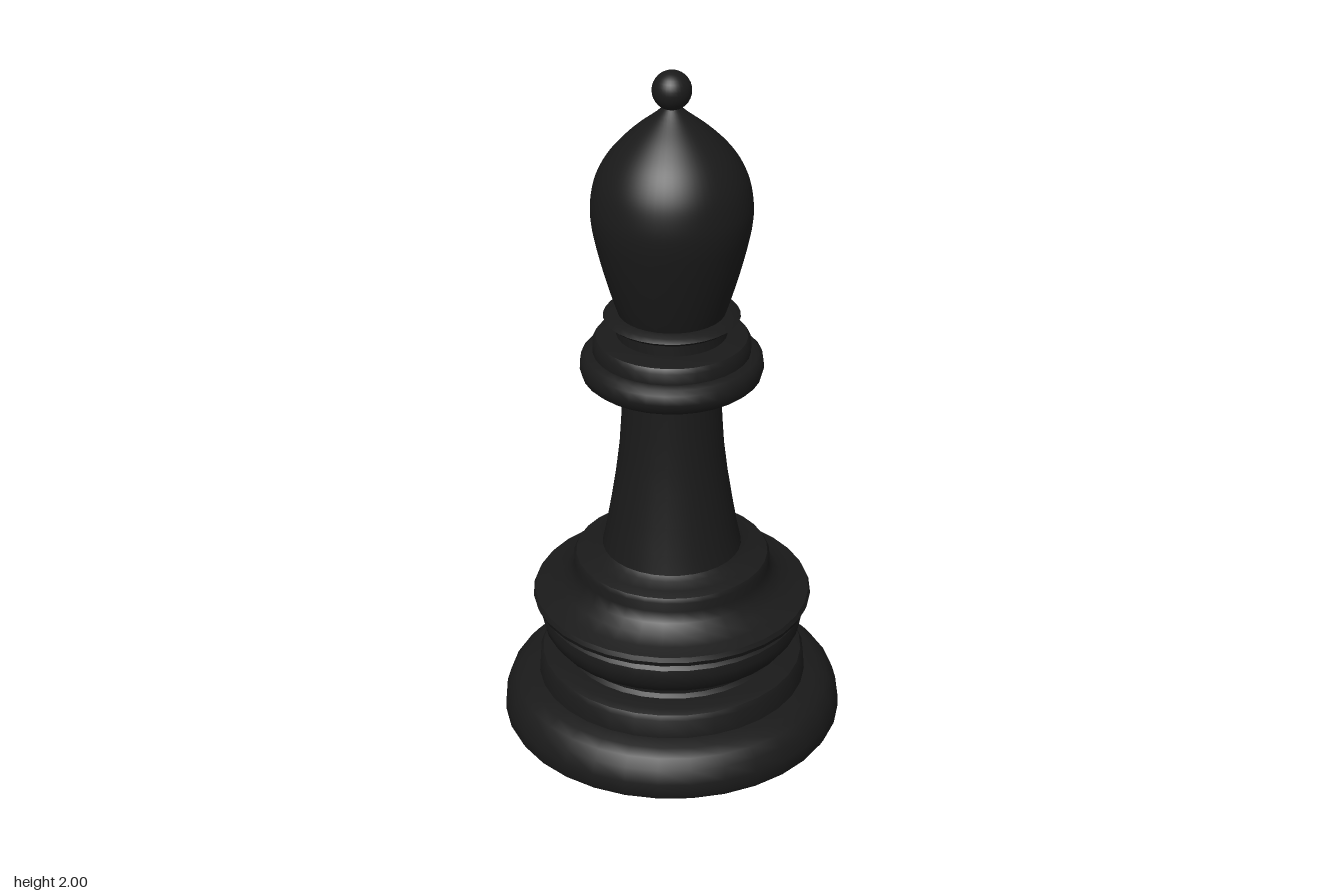
import * as THREE from 'three';
import { toCreasedNormals } from 'three/addons/utils/BufferGeometryUtils.js';

const SIDES = 32;
const material = new THREE.MeshStandardMaterial({ color: 0x1a1a1a, side: THREE.DoubleSide });

function addMesh(parent, name, geometry) {
  const mesh = new THREE.Mesh(geometry, material);
  mesh.name = name;
  parent.add(mesh);
  return mesh;
}

// Turned part from [radius, height] pairs, listed bottom to top
function turned(points) {
  const profile = points.map(([r, y]) => new THREE.Vector2(r, y));
  return toCreasedNormals(new THREE.LatheGeometry(profile, SIDES), 0.7);
}

// Surface through rows of points; normalAt is optional
function grid(rows, columns, pointAt, normalAt) {
  const positions = [], normals = [], index = [];
  rows.forEach((y, i) => {
    for (let j = 0; j <= columns; j++) {
      positions.push(...pointAt(y, j / columns));
      if (normalAt) normals.push(...normalAt(y, j / columns));
      if (i < rows.length - 1 && j < columns) {
        const a = i * (columns + 1) + j, b = a + columns + 1;
        index.push(a, a + 1, b, a + 1, b + 1, b);
      }
    }
  });
  const geometry = new THREE.BufferGeometry();
  geometry.setAttribute('position', new THREE.Float32BufferAttribute(positions, 3));
  geometry.setIndex(index);
  if (normalAt) {
    geometry.setAttribute('normal', new THREE.Float32BufferAttribute(normals, 3));
    geometry.normalizeNormals();
  } else geometry.computeVertexNormals();
  return geometry;
}

const range = (from, to, n) => Array.from({ length: n + 1 }, (_, i) => from + (to - from) * i / n);

// Head outline, sampled from a smooth curve
const outline = new THREE.SplineCurve([
  [0.15, 1.30], [0.165, 1.345], [0.187, 1.42], [0.207, 1.5], [0.22, 1.57], [0.221, 1.63],
  [0.206, 1.7], [0.17, 1.765], [0.113, 1.825], [0.045, 1.88], [0.018, 1.905],
].map(([r, y]) => new THREE.Vector2(r, y))).getPoints(120);

function radiusAt(y) {
  const i = Math.max(1, outline.findIndex((p) => p.y >= y));
  const a = outline[i - 1], b = outline[i];
  return a.x + (b.x - a.x) * (y - a.y) / (b.y - a.y);
}

function slopeAt(y) {
  const lo = Math.max(1.301, y - 0.015), hi = Math.min(1.904, y + 0.015);
  return (radiusAt(hi) - radiusAt(lo)) / (hi - lo);
}

// Slot walls: a rounded floor that opens into two nearly upright faces
const SLOT_Y = 1.55, FLOOR = 0.06;
function slotZ(y, front) {
  const t = Math.min(1, (y - SLOT_Y) / FLOOR);
  const spread = Math.sqrt(Math.max(0, 1 - (1 - t) ** 2));
  const wall = front ? -0.031 - 0.06 * (y - 1.6) : -0.09 - 0.1 * (y - 1.6);
  return -0.06 + (wall + 0.06) * spread;
}

// Angle, measured from +z, where a slot wall meets the outer surface
function slotAngle(y, front) {
  return Math.acos(Math.max(-1, slotZ(y, front) / radiusAt(y)));
}

function addHead(parent) {
  const head = new THREE.Group();
  head.name = 'head';
  parent.add(head);

  // Outer skin between two angles, and the flat wall closing it
  const skin = (name, rows, from, to) => {
    const angle = (y, u) => from(y) + (to(y) - from(y)) * u;
    const point = (y, u) => {
      const a = angle(y, u), r = radiusAt(y);
      return [r * Math.sin(a), y, r * Math.cos(a)];
    };
    addMesh(head, name, grid(rows, SIDES, point, (y, u) => {
      const a = angle(y, u);
      return [Math.sin(a), -slopeAt(y), Math.cos(a)];
    }));
    return (y, u) => {
      const p = point(y, 1), q = point(y, 0);
      return p.map((v, k) => v + (q[k] - v) * u);
    };
  };

  const floorRows = range(0, Math.PI / 2, 8).map((a) => SLOT_Y + FLOOR * (1 - Math.cos(a)));
  const frontRows = [...floorRows, ...range(SLOT_Y + FLOOR, 1.904, 28).slice(1)];
  const backRows = [...floorRows, ...range(SLOT_Y + FLOOR, 1.828, 24).slice(1)];

  skin('lowerHead', range(1.30, SLOT_Y, 14), () => -Math.PI, () => Math.PI);
  const frontWall = skin('frontHead', frontRows, (y) => -slotAngle(y, true), (y) => slotAngle(y, true));
  addMesh(head, 'frontSlotWall', grid(frontRows, 1, frontWall));
  const backWall = skin('backHead', backRows, (y) => slotAngle(y, false), (y) => 2 * Math.PI - slotAngle(y, false));
  addMesh(head, 'backSlotWall', grid(backRows, 1, backWall));
}

export function createModel() {
  const model = new THREE.Group();
  model.name = 'chessBishop';

  // Stepped foot with a shallow recess underneath
  addMesh(model, 'base', turned([
    [0, 0.008], [0.44, 0.008], [0.455, 0], [0.488, 0], [0.496, 0.015], [0.494, 0.05], [0.482, 0.09],
    [0.46, 0.117], [0.43, 0.132], [0.392, 0.14], [0.388, 0.195], [0.38, 0.209], [0.36, 0.216], [0.31, 0.219],
  ]));

  // Rounded mouldings above the foot
  addMesh(model, 'baseMouldings', turned([
    [0.31, 0.219], [0.298, 0.228], [0.3, 0.243], [0.32, 0.258], [0.355, 0.277], [0.375, 0.305], [0.382, 0.335],
    [0.378, 0.358], [0.366, 0.368], [0.375, 0.376], [0.398, 0.388], [0.404, 0.403], [0.398, 0.416],
    [0.36, 0.426], [0.32, 0.44], [0.295, 0.463], [0.281, 0.492], [0.284, 0.522], [0.277, 0.534],
    [0.25, 0.543], [0.215, 0.551], [0.2, 0.562],
  ]));

  // Tapering stem
  addMesh(model, 'stem', turned([
    [0.2, 0.562], [0.188, 0.62], [0.174, 0.7], [0.16, 0.79], [0.149, 0.88], [0.143, 0.97], [0.139, 1.05], [0.137, 1.1],
  ]));

  // Collar rings
  addMesh(model, 'collar', turned([
    [0.137, 1.1], [0.238, 1.1], [0.252, 1.112], [0.258, 1.135], [0.254, 1.162], [0.242, 1.175], [0.221, 1.18],
    [0.221, 1.212], [0.212, 1.225], [0.19, 1.23], [0.155, 1.234], [0.153, 1.27],
    [0.178, 1.277], [0.191, 1.288], [0.178, 1.298], [0.15, 1.302],
  ]));

  addHead(model);

  // Ball at the tip
  addMesh(model, 'finial', new THREE.SphereGeometry(0.054, 32, 16)).position.y = 1.946;
  return model;
}
